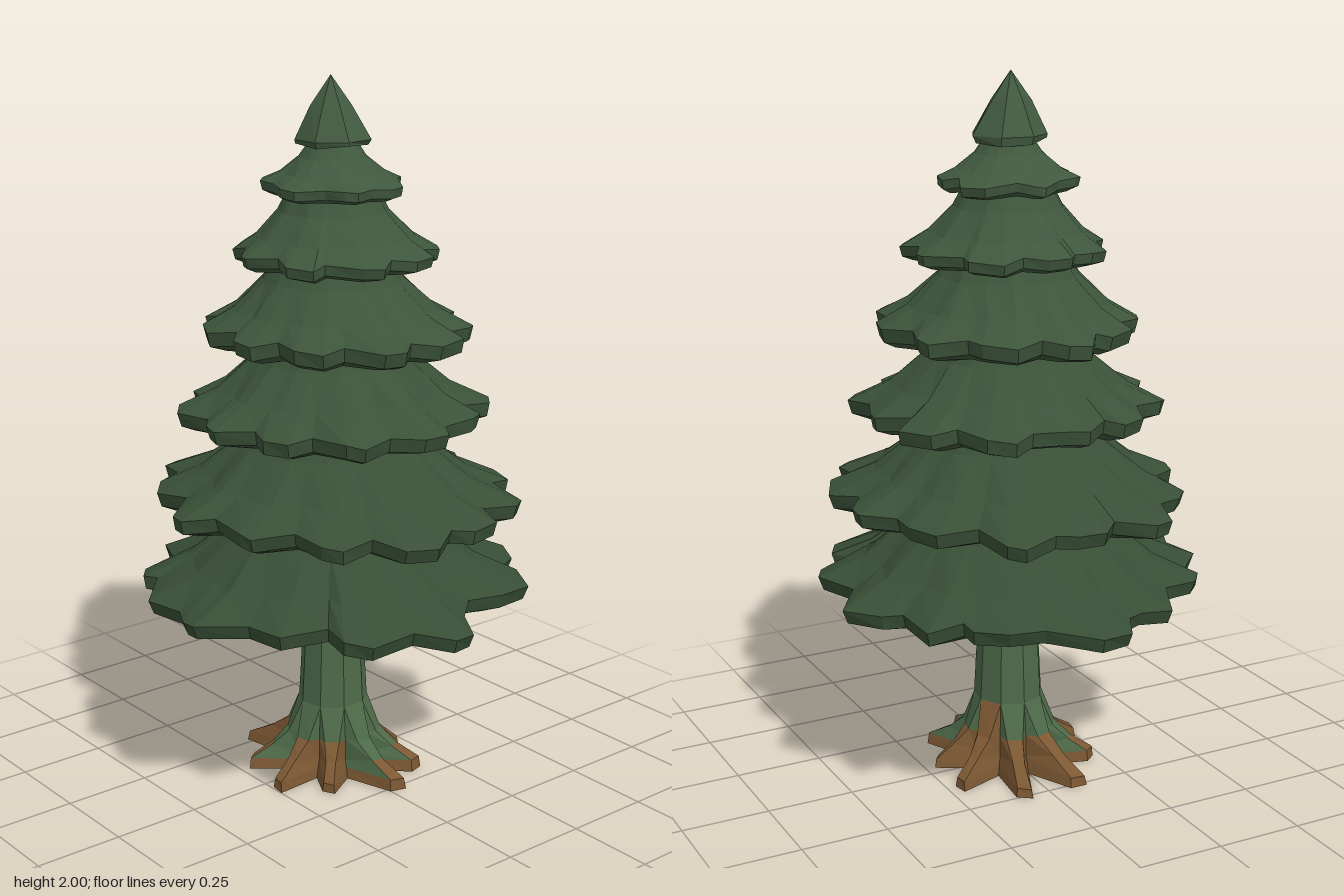
import * as THREE from 'three';

const BARK = 0x4d6a48, ROOT = 0x7c5833;
const FOLIAGE_LOW = new THREE.Color(0x374e35), FOLIAGE_HIGH = new THREE.Color(0x415a3f);

// Small seeded generator: returns values in -1..1
function makeJitter(seed) {
  let s = seed;
  return () => {
    s = (s * 16807) % 2147483647;
    return (s / 2147483647) * 2 - 1;
  };
}

// Faceted skin through rings of equal length (listed from below to above).
// keep(row, column) picks which quads belong to the mesh.
function loft(name, rings, color, keep = () => true) {
  const pos = [];
  const tri = (...pts) => pts.forEach((p) => pos.push(p.x, p.y, p.z));
  for (let i = 0; i < rings.length - 1; i++) {
    const lo = rings[i], hi = rings[i + 1], n = lo.length;
    for (let j = 0; j < n; j++) {
      if (!keep(i, j)) continue;
      const k = (j + 1) % n;
      tri(lo[j], hi[j], hi[k]);
      tri(lo[j], hi[k], lo[k]);
    }
  }
  const geo = new THREE.BufferGeometry();
  geo.setAttribute('position', new THREE.Float32BufferAttribute(pos, 3));
  geo.computeVertexNormals();
  const mat = new THREE.MeshStandardMaterial({ color, flatShading: true, side: THREE.DoubleSide });
  const mesh = new THREE.Mesh(geo, mat);
  mesh.name = name;
  return mesh;
}

// Ragged rim of the lowest tier, as x, z pairs
const LOWEST_RIM = [
  -0.06, -0.59, 0.03, -0.6, 0.15, -0.5, 0.24, -0.47, 0.31, -0.4, 0.32, -0.36, 0.42, -0.35,
  0.43, -0.22, 0.48, -0.19, 0.555, -0.1, 0.47, 0.03, 0.52, 0.16, 0.48, 0.24, 0.38, 0.29,
  0.41, 0.33, 0.36, 0.43, 0.23, 0.46, 0.13, 0.43, 0.05, 0.5, 0, 0.59, -0.06, 0.59,
  -0.13, 0.5, -0.27, 0.5, -0.32, 0.44, -0.3, 0.35, -0.43, 0.31, -0.45, 0.2, -0.56, 0.1,
  -0.555, 0.05, -0.52, -0.02, -0.54, -0.14, -0.43, -0.26, -0.45, -0.3, -0.41, -0.35,
  -0.3, -0.37, -0.24, -0.5, -0.15, -0.49, -0.1, -0.51,
];

// Scalloped rim reaching rx and rz: each lobe is a valley and two outer corners
function scallopedRim(lobes, rx, rz, jitter) {
  const rim = [];
  for (let i = 0; i < lobes; i++) {
    const swell = 1 + 0.05 * jitter();
    [[0, 0.87], [0.36, 1], [0.68, 0.98]].forEach(([f, r]) => {
      const a = ((i + f - 0.5 + 0.12 * jitter()) / lobes) * Math.PI * 2 - Math.PI / 2;
      rim.push(new THREE.Vector2(Math.cos(a), Math.sin(a)).multiplyScalar(r * swell));
    });
  }
  const reachX = Math.max(...rim.map((p) => Math.abs(p.x)));
  const reachZ = Math.max(...rim.map((p) => Math.abs(p.y)));
  return rim.map((p) => new THREE.Vector2((p.x / reachX) * rx, (p.y / reachZ) * rz));
}

// One skirt of branches: hollow underside, bevelled lip, flaring top surface
function tier(name, rim, [yLow, yLip, yTop, rTop], color, jitter) {
  const mean = rim.reduce((s, p) => s + p.length(), 0) / rim.length;
  const droop = rim.map((p) => 0.05 * (1 - p.length() / mean) + 0.006 * jitter());
  // ring of mean radius r, following the rim's scallops by the given share
  const ring = (r, y, share, sag = 0, rough = 0) => rim.map((p, j) => {
    const len = p.length();
    const radius = r * (1 + share * (len / mean - 1)) * (1 + rough * jitter());
    return new THREE.Vector3((p.x / len) * radius, y + droop[j] * sag, (p.y / len) * radius);
  });
  const h = yTop - yLip, lip = yLip - yLow, spread = mean - rTop;
  return loft(name, [
    ring(mean * 0.15, yLow + h * 0.42, 0),
    ring(mean * 0.5, yLow + h * 0.28, 0.3, 0.5, 0.03),
    ring(mean * 0.76, yLow + h * 0.08, 0.7, 1, 0.03),
    ring(mean * 0.87, yLow, 0.9, 0.6, 0.03),
    ring(mean * 0.98, yLow + lip * 0.3, 1, 1, 0.01),
    ring(mean, yLip, 1, 1),
    ring(rTop + spread * 0.64, yLip + h * 0.2, 0.5, 0.3, 0.015),
    ring(rTop + spread * 0.28, yLip + h * 0.54, 0.15, 0, 0.015),
    ring(rTop + spread * 0.09, yLip + h * 0.84, 0.05),
    ring(rTop, yTop, 0),
  ], color);
}

function createFoliage() {
  const group = new THREE.Group();
  group.name = 'foliage';
  const jitter = makeJitter(4711);
  const shade = (i) => FOLIAGE_LOW.clone().lerp(FOLIAGE_HIGH, i / 6);
  const lowest = [];
  for (let i = 0; i < LOWEST_RIM.length; i += 2) {
    lowest.push(new THREE.Vector2(LOWEST_RIM[i], LOWEST_RIM[i + 1]));
  }

  // rim, then underside y, lip y, top y, top radius
  [
    [lowest, [0.54, 0.595, 0.88, 0.19]],
    [scallopedRim(13, 0.505, 0.55, jitter), [0.79, 0.845, 1.12, 0.165]],
    [scallopedRim(12, 0.43, 0.445, jitter), [1.04, 1.095, 1.35, 0.15]],
    [scallopedRim(11, 0.37, 0.395, jitter), [1.27, 1.325, 1.56, 0.135]],
    [scallopedRim(9, 0.285, 0.29, jitter), [1.49, 1.53, 1.73, 0.105]],
    [scallopedRim(7, 0.2, 0.205, jitter), [1.68, 1.715, 1.84, 0.055]],
  ].forEach(([rim, heights], i) => {
    group.add(tier(`branchTier${i + 1}`, rim, heights, shade(i), jitter));
  });

  // Pointed cap
  const cap = [[0.02, 1.85], [0.1, 1.812], [0.106, 1.83], [0.055, 1.92], [0, 2]].map(([r, y], row) =>
    Array.from({ length: 7 }, (_, j) => {
      const a = (j / 7) * Math.PI * 2;
      const k = r * (1 + 0.06 * jitter());
      const lift = row === 1 ? 0.012 * jitter() : 0;
      return new THREE.Vector3(Math.cos(a) * k - row * 0.002, y + lift, Math.sin(a) * k);
    }));
  group.add(loft('treeTop', cap, shade(6)));
  return group;
}

// Trunk and root star share one set of rings, split by colour
function createTrunk() {
  const group = new THREE.Group();
  group.name = 'trunkAndRoots';
  const jitter = makeJitter(97);
  // reach of each root, starting at the front and turning towards the right
  const reach = [0.28, 0.22, 0.26, 0.25, 0.29, 0.28, 0.26, 0.225, 0.26];
  const n = reach.length * 3;
  const turn = reach.map(() => 0.08 * jitter());
  const tipLift = reach.map(() => 0.008 * jitter());
  // y, share of the reach added on a root, valley radius, half width of a root in columns
  const rows = [
    [0, 0, 0, 0.5], [0, 1, 0.13, 0.36], [0.03, 0.97, 0.12, 0.3], [0.07, 0.52, 0.11, 0.36],
    [0.115, 0.18, 0.11, 0.7], [0.21, 0, 0.1, 1.5], [0.4, 0, 0.09, 1.5], [0.68, 0, 0.085, 1.5],
  ];
  const rings = rows.map(([y, share, valley, half], row) => Array.from({ length: n }, (_, j) => {
    // columns of a root: valley, first edge, second edge
    const i = Math.floor(j / 3), part = j % 3;
    const column = part === 0 ? i * 3 - 1.5 : i * 3 + (part === 1 ? -half : half);
    const isRoot = part > 0;
    const a = (column / n) * Math.PI * 2 + Math.PI / 2 + (isRoot ? turn[i] * share : 0);
    const edge = part === 1 ? 1 : 0.94;
    const r = isRoot ? valley + share * (reach[i] * edge - valley) : valley;
    const lift = isRoot && row === 2 ? tipLift[i] : row === 3 && !isRoot ? -0.02 : 0;
    return new THREE.Vector3(Math.cos(a) * r, y + lift, Math.sin(a) * r);
  }));
  // green bark runs down between some roots, brown climbs at one side
  const isBrown = (row, col) => {
    const root = Math.floor(col / 3), part = col % 3;
    if (row < 2) return true;
    if (row === 2) return !(part !== 1 && (root === 0 || root === 3 || root === 8));
    if (row === 3) return ![0, 3, 8].includes(root);
    return row === 4 && root === 6;
  };
  group.add(loft('trunk', rings, BARK, (row, col) => !isBrown(row, col)));
  group.add(loft('roots', rings, ROOT, isBrown));
  return group;
}

export function createModel() {
  const model = new THREE.Group();
  model.name = 'pineTree';
  model.add(createTrunk(), createFoliage());
  return model;
}
